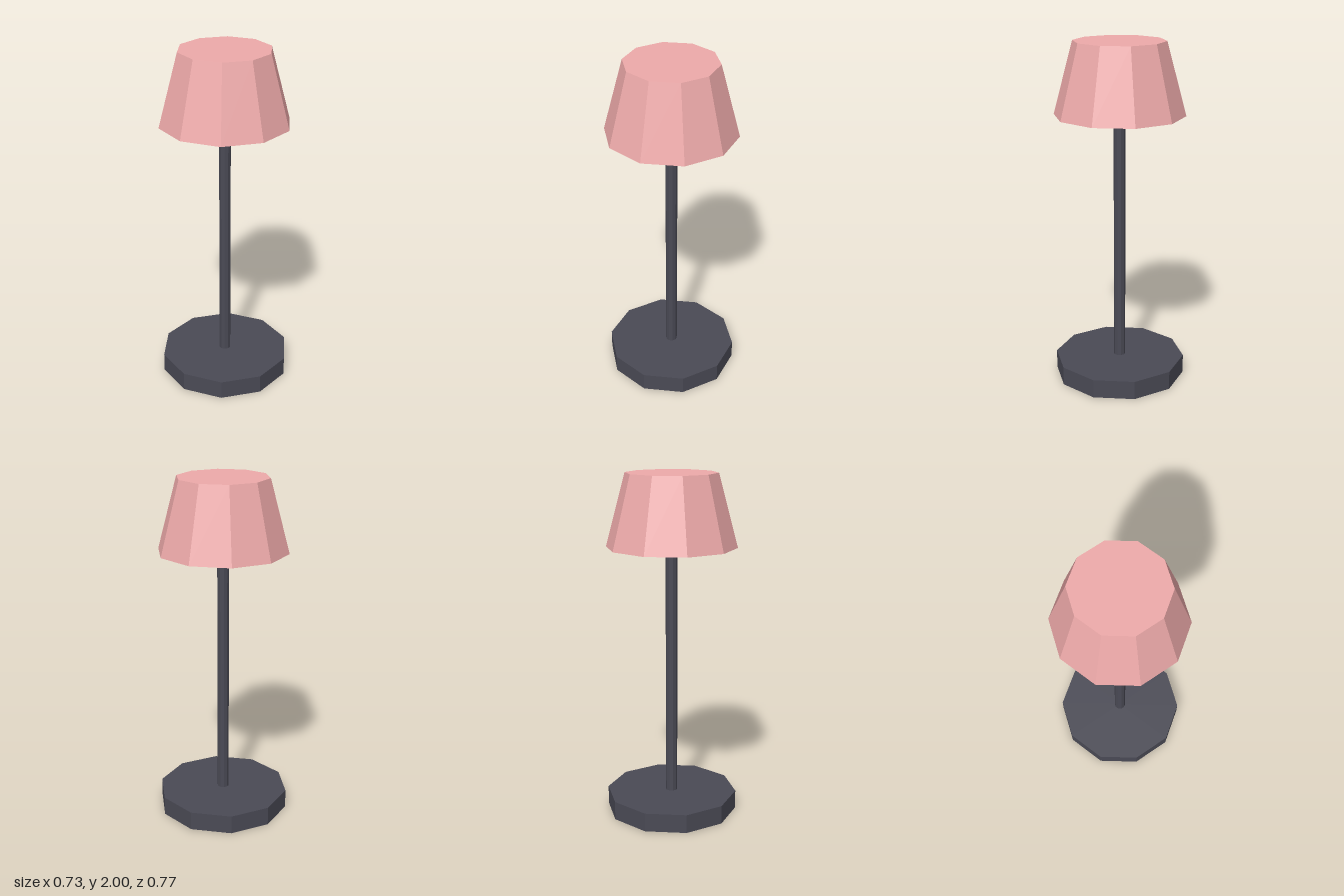
import * as THREE from 'three';

const SIDES = 10;

export function createModel() {
  const lamp = new THREE.Group();
  lamp.name = 'tableLamp';

  const metal = new THREE.MeshStandardMaterial({ color: 0x4a4a55, flatShading: true });
  const fabric = new THREE.MeshStandardMaterial({ color: 0xeeaaaa, flatShading: true });

  // Ten-sided solid between two heights, with a corner facing the front
  const addPart = (name, material, rTop, rBottom, y0, y1) => {
    const geometry = new THREE.CylinderGeometry(rTop, rBottom, y1 - y0, SIDES);
    const mesh = new THREE.Mesh(geometry, material);
    mesh.name = name;
    mesh.position.y = (y0 + y1) / 2;
    lamp.add(mesh);
  };

  addPart('base', metal, 0.386, 0.386, 0, 0.11);
  addPart('pole', metal, 0.034, 0.034, 0.11, 1.584);
  // Tapered shade, closed at both ends
  addPart('shade', fabric, 0.263, 0.375, 1.584, 2);

  return lamp;
}
